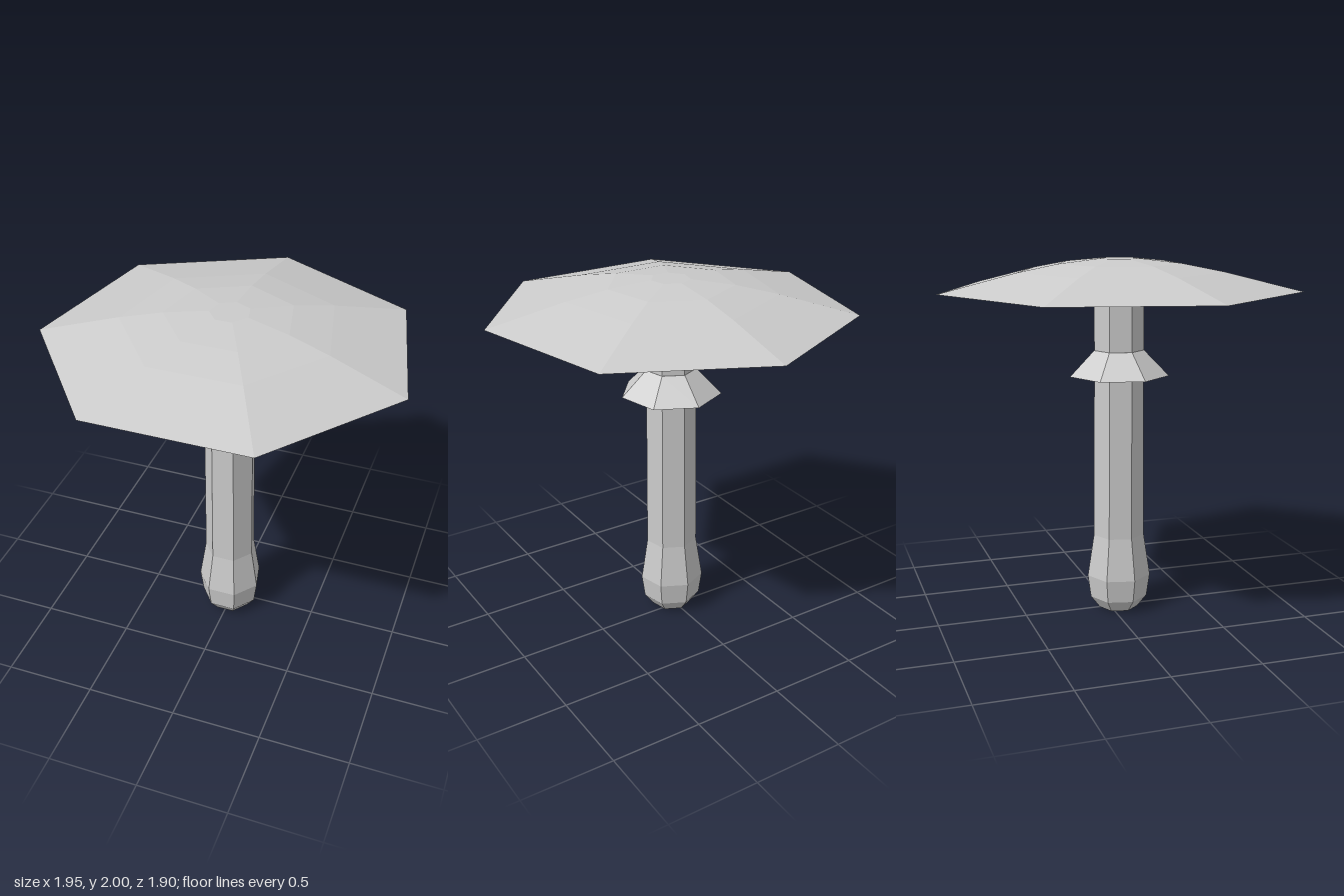
import * as THREE from 'three';

const SIDES = 7;

// Seven-sided turned part with a corner at the back; profile is [radius, y] from bottom to top
function turned(name, profile) {
  const points = profile.map(([r, y]) => new THREE.Vector2(r, y));
  const geometry = new THREE.LatheGeometry(points, SIDES, Math.PI);
  const material = new THREE.MeshStandardMaterial({ color: 0xcccccc, flatShading: true });
  const mesh = new THREE.Mesh(geometry, material);
  mesh.name = name;
  return mesh;
}

export function createModel() {
  const group = new THREE.Group();
  group.name = 'mushroom';

  // Stem with a swollen foot
  const stem = turned('stem', [
    [0, 0], [0.112, 0], [0.165, 0.07], [0.183, 0.2], [0.146, 0.44], [0.141, 1.36], [0.14, 1.83],
  ]);

  // Flared skirt, hollow below
  const skirt = turned('skirt', [
    [0.13, 1.42], [0.281, 1.36], [0.142, 1.5], [0.13, 1.5],
  ]);

  // Shallow domed cap with a flat underside
  const cap = turned('cap', [
    [0, 1.83], [1, 1.83], [0.575, 1.932], [0.345, 1.975], [0.108, 2], [0, 2],
  ]);

  group.add(stem, skirt, cap);
  // The heptagon reaches further to its back corner than to its front edge
  for (const part of group.children) part.position.z = 0.05;
  return group;
}
